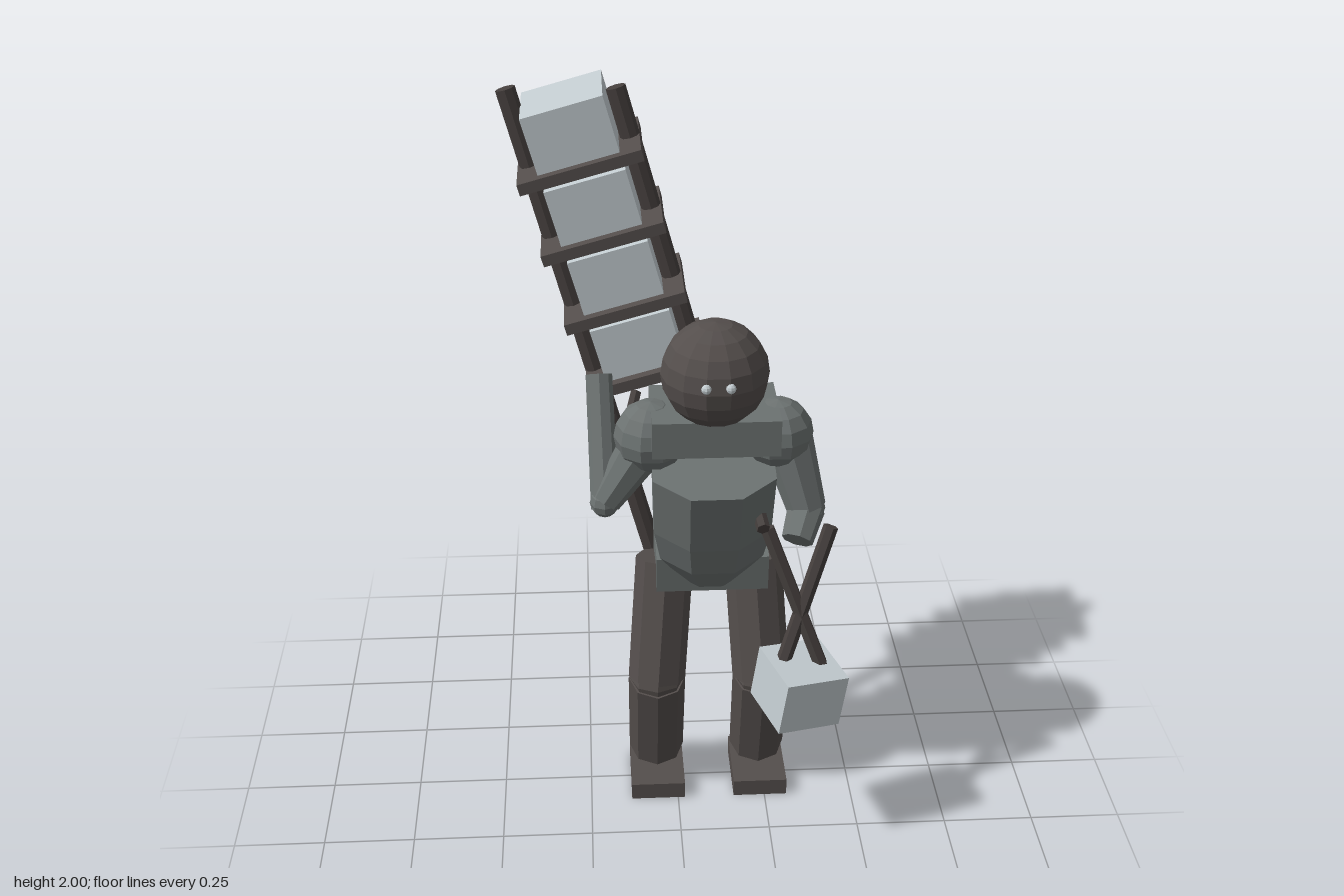
import * as THREE from 'three';

const mat = (name, color) => {
  const m = new THREE.MeshStandardMaterial({ color, flatShading: true });
  m.name = name;
  return m;
};

export function createModel() {
  const root = new THREE.Group();
  const dark = mat('darkBrown', 0x544e4c);
  const pole = mat('poleBrown', 0x453f3d);
  const grey = mat('stoneGrey', 0x6c7271);
  const pale = mat('paleBlock', 0xc3ccd0);

  const add = (name, geo, material, pos = [0, 0, 0], rot = [0, 0, 0]) => {
    const m = new THREE.Mesh(geo, material);
    m.name = name;
    m.position.set(...pos);
    m.rotation.set(...rot);
    root.add(m);
    return m;
  };
  const box = (name, size, material, pos, rot) =>
    add(name, new THREE.BoxGeometry(...size), material, pos, rot);
  const ball = (name, r, material, pos, w = 12, h = 9) =>
    add(name, new THREE.SphereGeometry(r, w, h), material, pos);
  // tapered rod between two points
  const rod = (name, a, b, ra, rb, material, sides = 8) => {
    const A = new THREE.Vector3(...a), B = new THREE.Vector3(...b);
    const d = B.clone().sub(A);
    const m = add(name, new THREE.CylinderGeometry(rb, ra, d.length(), sides), material);
    m.position.copy(A).add(B).multiplyScalar(0.5);
    m.quaternion.setFromUnitVectors(new THREE.Vector3(0, 1, 0), d.normalize());
    return m;
  };

  // legs and feet
  for (const [side, foot, hip] of [['right', -0.057, -0.03], ['left', 0.237, 0.215]]) {
    box(side + 'Foot', [0.153, 0.05, 0.212], dark, [foot, 0.025, 0]);
    rod(side + 'Shin', [foot, 0.085, -0.04], [foot, 0.38, 0.037], 0.078, 0.08, dark);
    rod(side + 'Thigh', [foot, 0.38, 0.037], [hip, 0.725, -0.05], 0.08, 0.08, dark);
    ball(side + 'Knee', 0.077, dark, [foot, 0.38, 0.037], 8, 6);
  }

  // torso: hips, leaning belly, back plate, shoulder block
  box('hips', [0.305, 0.11, 0.21], grey, [0.095, 0.745, -0.04], [0.1, 0, 0]);
  const profile = [[0, 0], [0.085, 0], [0.15, 0.1], [0.168, 0.2], [0.173, 0.39], [0, 0.39]]
    .map(p => new THREE.Vector2(...p));
  const belly = add('belly', new THREE.LatheGeometry(profile, 8, Math.PI / 8), grey,
    [0.09, 0.72, 0.02], [0.25, 0, 0]);
  belly.scale.z = 0.78;
  box('backPlate', [0.27, 0.3, 0.11], grey, [0.1, 1.015, -0.09], [0.12, 0, 0]);
  box('shoulderBlock', [0.33, 0.1, 0.225], grey, [0.094, 1.2, 0.053]);

  // head, neck and eyes
  rod('neck', [0.092, 1.22, -0.01], [0.092, 1.33, 0.07], 0.075, 0.085, dark);
  ball('head', 0.139, dark, [0.092, 1.36, 0.1], 14, 10);
  for (const x of [0.061, 0.122]) ball('eye', 0.013, pale, [x, 1.378, 0.232], 8, 6);

  // left arm, hanging down
  ball('leftShoulder', 0.095, grey, [0.26, 1.162, 0.055], 10, 8);
  rod('leftUpperArm', [0.285, 1.14, 0.055], [0.338, 0.96, 0.105], 0.07, 0.052, grey);
  ball('leftElbow', 0.05, grey, [0.338, 0.96, 0.105], 8, 6);
  rod('leftForearm', [0.338, 0.96, 0.105], [0.308, 0.9, 0.17], 0.05, 0.042, grey);

  // right arm, bent up to hold the rack
  ball('rightShoulder', 0.097, grey, [-0.07, 1.162, 0.055], 10, 8);
  rod('rightUpperArm', [-0.085, 1.14, 0.055], [-0.19, 0.985, 0.085], 0.065, 0.04, grey);
  ball('rightElbow', 0.04, grey, [-0.193, 0.982, 0.085], 8, 6);
  rod('rightForearm', [-0.193, 0.965, 0.09], [-0.2, 1.275, -0.08], 0.037, 0.035, grey);

  // tongs carrying a block
  rod('tongArm', [0.395, 0.94, 0.17], [0.262, 0.55, 0.265], 0.02, 0.02, pole, 6);
  rod('tongArm', [0.228, 0.94, 0.17], [0.378, 0.55, 0.265], 0.02, 0.02, pole, 6);
  box('carriedBlock', [0.18, 0.155, 0.18], pale, [0.315, 0.505, 0.27], [0.08, 0.34, -0.14]);

  // rack poles
  rod('rackPole', [-0.06, 0.69, -0.16], [-0.418, 1.99, -0.262], 0.026, 0.026, pole);
  rod('rackPole', [0.222, 0.69, -0.16], [-0.14, 1.99, -0.262], 0.026, 0.026, pole);

  // straps joining the rack to the body
  rod('strapRod', [0.166, 1.08, -0.19], [0.215, 0.955, 0.2], 0.018, 0.018, pole, 6);
  rod('strapRod', [0.02, 1.08, -0.19], [0.055, 0.955, 0.2], 0.018, 0.018, pole, 6);
  rod('rackHandle', [-0.16, 1.01, -0.02], [-0.1, 1.16, -0.2], 0.016, 0.016, pole, 6);

  // shelves, each with a block
  const tilt = 0.27;
  for (let i = 0; i < 4; i++) {
    const x = -0.234 + 0.0535 * i, y = 1.815 - 0.185 * i, z = -0.251 + 0.0168 * i;
    box('shelf', [0.325, 0.03, 0.272], dark, [x, y, z], [0, 0, tilt]);
    box('stackedBlock', [0.215, 0.152, 0.225], pale,
      [x - 0.09 * Math.sin(tilt), y + 0.09 * Math.cos(tilt), z - 0.004], [0, 0, tilt]);
  }
  return root;
}
